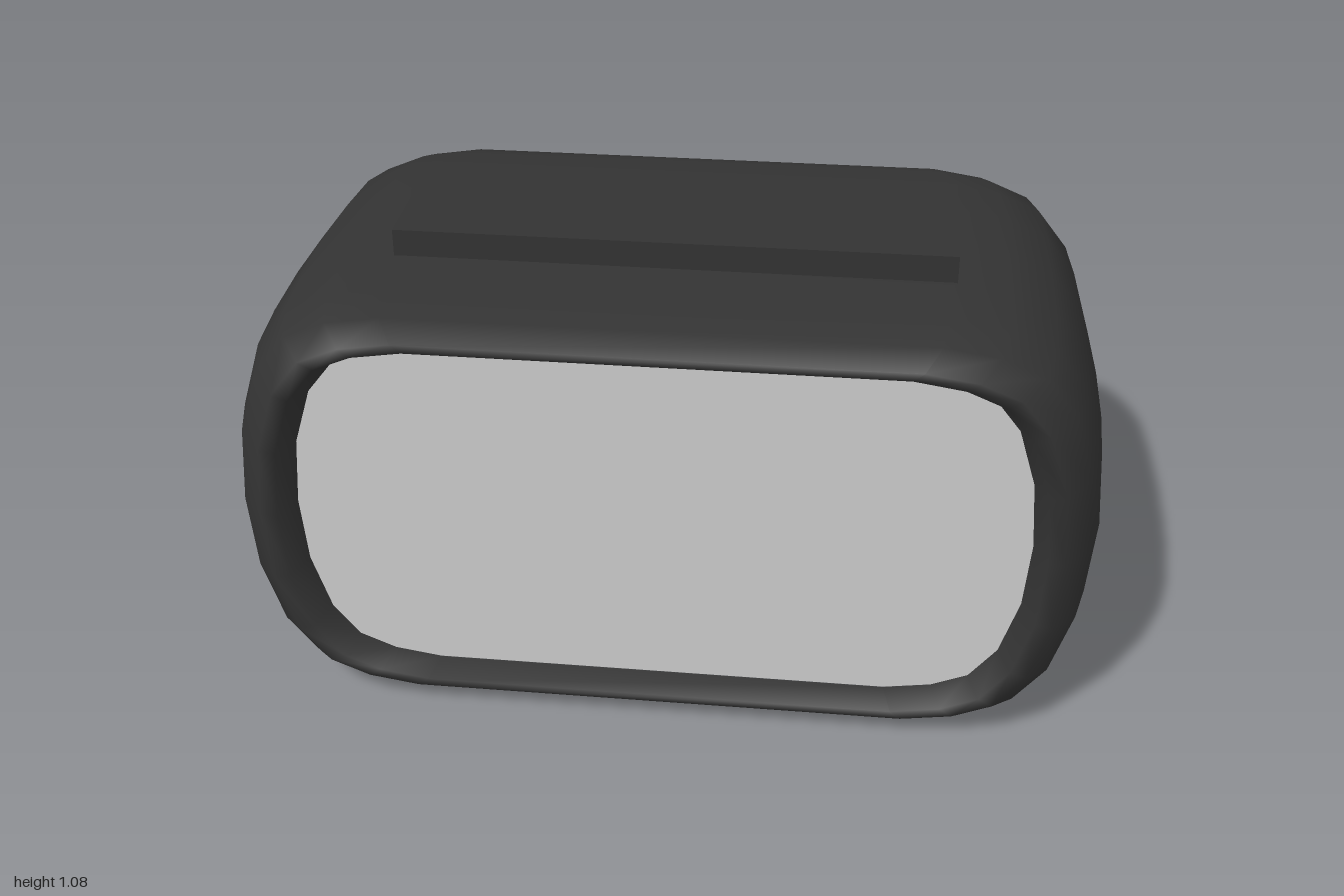
import * as THREE from 'three';

const CENTRE_Y = 0.507;

// One quarter of the rounded outline, mirrored to a full counter-clockwise loop
const quarter = [[1, 0], [0.985, 0.19], [0.935, 0.35], [0.86, 0.445], [0.76, 0.487], [0.63, 0.507]];
const half = [...quarter, ...quarter.slice(1).reverse().map(([x, y]) => [-x, y])];
half.push([-1, 0]);
const outline = [...half, ...half.slice(1, -1).reverse().map(([x, y]) => [x, -y])];

// Lofts the outline through [z, scale] sections, with smooth normals
function loft(sections) {
  const n = outline.length;
  const positions = [];
  const indices = [];
  for (const [z, s] of sections) {
    for (const [x, y] of outline) positions.push(x * s, y * s, z);
  }
  for (let i = 0; i < sections.length - 1; i++) {
    for (let j = 0; j < n; j++) {
      const a = i * n + j;
      const b = i * n + (j + 1) % n;
      indices.push(a, b, b + n, a, b + n, a + n);
    }
  }
  const geometry = new THREE.BufferGeometry();
  geometry.setAttribute('position', new THREE.Float32BufferAttribute(positions, 3));
  geometry.setIndex(indices);
  geometry.computeVertexNormals();
  return geometry;
}

export function createModel() {
  const group = new THREE.Group();
  const casing = new THREE.MeshStandardMaterial({ name: 'dark casing', color: 0x333333 });
  const glass = new THREE.MeshStandardMaterial({ name: 'light grey screen', color: 0xcccccc });

  const add = (name, geometry, material, y, z = 0) => {
    const mesh = new THREE.Mesh(geometry, material);
    mesh.name = name;
    mesh.position.set(0, y, z);
    group.add(mesh);
  };

  // Bulging shell: closed back, barrel sides, front lip and recess
  add('body', loft([
    [-0.535, 0], [-0.535, 0.87], [-0.535, 0.9], [-0.52, 0.93], [-0.47, 0.957],
    [-0.36, 0.985], [-0.2, 0.996], [0, 1], [0.2, 0.996], [0.36, 0.985],
    [0.47, 0.957], [0.535, 0.9], [0.535, 0.862], [0.465, 0.833],
  ]), casing, CENTRE_Y);

  // Flat screen at the bottom of the recess
  const screenShape = new THREE.Shape(outline.map(([x, y]) => new THREE.Vector2(x * 0.835, y * 0.83)));
  add('screen', new THREE.ShapeGeometry(screenShape), glass, CENTRE_Y, 0.466);

  // Bar on the top
  add('topButton', new THREE.BoxGeometry(1.27, 0.085, 0.4), casing, 1.0325);

  return group;
}
